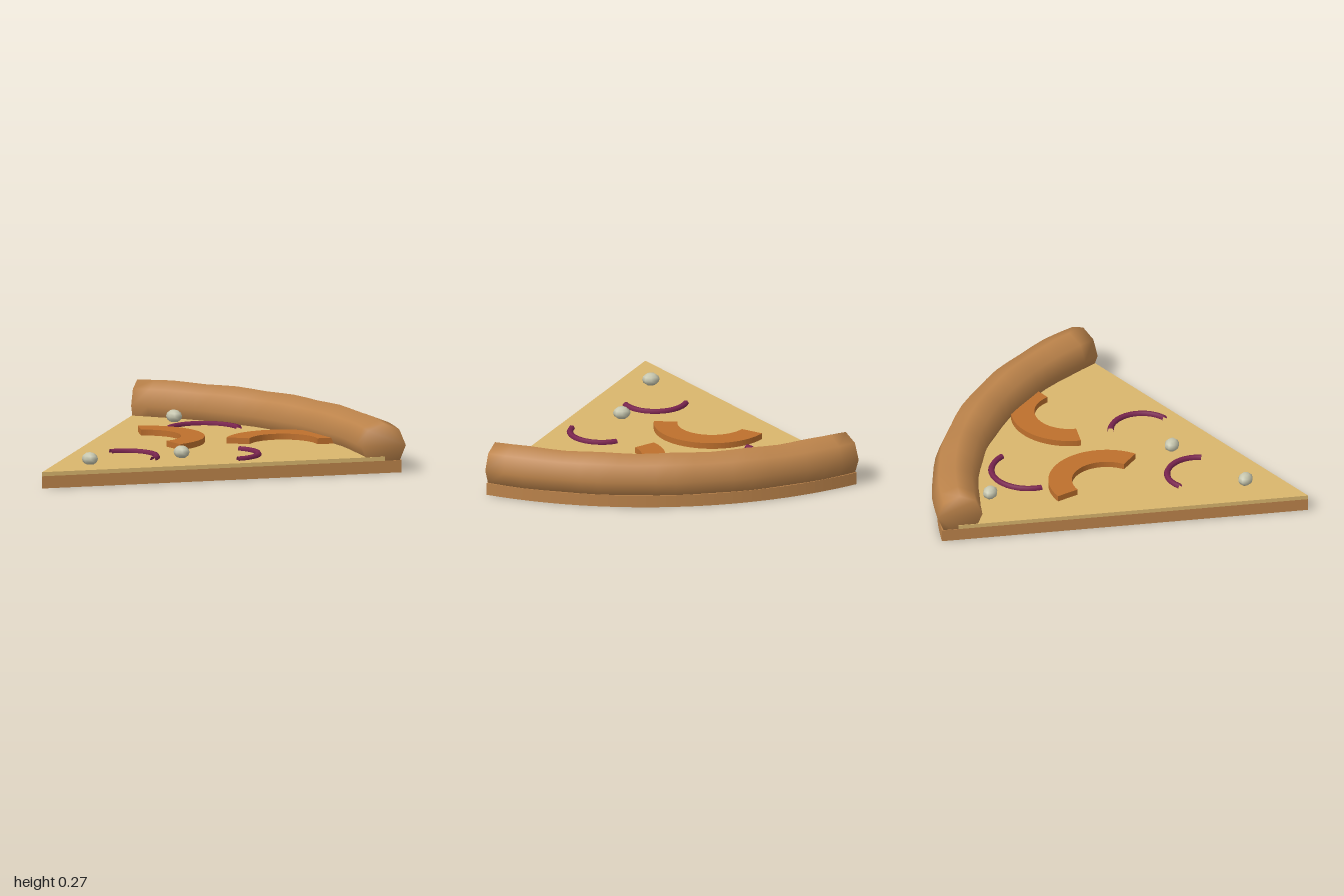
import * as THREE from 'three';

const rad = THREE.MathUtils.degToRad;

function material(name, color, extra = {}) {
  const m = new THREE.MeshStandardMaterial({ color, ...extra });
  m.name = name;
  return m;
}

// Extrude a flat outline (x, -z) upwards from height y
function slab(shape, y, height) {
  const g = new THREE.ExtrudeGeometry(shape, { depth: height, bevelEnabled: false, curveSegments: 20 });
  return g.rotateX(-Math.PI / 2).translate(0, y, 0);
}

// Sixty-degree wedge with its tip at z = 1
function wedge(radius) {
  const s = new THREE.Shape();
  s.absarc(0, -1, radius, rad(60), rad(120), false);
  s.lineTo(0, -1);
  s.closePath();
  return s;
}

// Curved band between two radii
function band(inner, outer, from, to) {
  const s = new THREE.Shape();
  s.absarc(0, 0, outer, rad(from), rad(to), false);
  s.absarc(0, 0, inner, rad(to), rad(from), true);
  s.closePath();
  return s;
}

// Lumpy eight-sided roll following the outer arc, softly capped at both ends
function crustGeometry() {
  const steps = 20, sides = 8, pos = [], index = [];
  for (let i = 0; i <= steps; i++) {
    const a = rad(-29.9 + (59.8 * i) / steps);
    const r = 0.124 + 0.003 * Math.cos(a * 30);
    for (let j = 0; j < sides; j++) {
      const t = (j / sides) * Math.PI * 2;
      const d = 1.873 + r * Math.cos(t);
      pos.push(d * Math.sin(a), 0.145 + r * Math.sin(t), 1 - d * Math.cos(a));
    }
  }
  for (let i = 0; i < steps; i++) {
    for (let j = 0; j < sides; j++) {
      const k = (j + 1) % sides;
      const a = i * sides + j, b = i * sides + k;
      index.push(a, b, a + sides, b, b + sides, a + sides);
    }
  }
  const last = steps * sides;
  for (let j = 1; j < sides - 1; j++) {
    index.push(0, j + 1, j, last, last + j, last + j + 1);
  }
  const g = new THREE.BufferGeometry();
  g.setAttribute('position', new THREE.Float32BufferAttribute(pos, 3));
  g.setIndex(index);
  g.computeVertexNormals();
  return g;
}

export function createModel() {
  const group = new THREE.Group();
  group.name = 'pizzaSlice';
  const crustMat = material('baked crust', 0xbd844b);
  const cheeseMat = material('cheese', 0xdab66d);
  const pepperMat = material('orange pepper', 0xbe702d);
  const onionMat = material('purple onion', 0x7b2550, { side: THREE.DoubleSide });
  const garlicMat = material('pale garlic', 0xc6c6ae);

  function add(name, geometry, mat, x = 0, y = 0, z = 0) {
    const mesh = new THREE.Mesh(geometry, mat);
    mesh.name = name;
    mesh.position.set(x, y, z);
    group.add(mesh);
    return mesh;
  }

  // Base layers and rolled edge
  add('dough', slab(wedge(1.97), 0, 0.066), crustMat);
  add('cheese', slab(wedge(1.88), 0.066, 0.022), cheeseMat);
  add('crust', crustGeometry(), crustMat);

  // Pepper strips: x, z, start and end angle
  for (const [x, z, from, to] of [[-0.27, -0.04, -9, 144], [0.325, -0.475, 59, 212]]) {
    add('pepperStrip', slab(band(0.185, 0.31, from, to), 0.085, 0.035), pepperMat, x, 0, z);
  }

  // Onion rings: x, z, radius, start and end angle
  for (const [x, z, r, from, to] of [
    [-0.28, -0.48, 0.197, 66, 221],
    [0.32, -0.06, 0.168, -25, 113],
    [0, 0.378, 0.166, 15, 165],
  ]) {
    const g = new THREE.TorusGeometry(r, 0.017, 6, 14, rad(to - from));
    g.rotateZ(rad(from)).rotateX(-Math.PI / 2);
    add('onionRing', g, onionMat, x, 0.093, z);
  }

  // Garlic pieces
  for (const [x, z] of [[-0.605, -0.575], [0.195, 0.155], [0, 0.645]]) {
    add('garlicPiece', new THREE.SphereGeometry(1, 8, 6), garlicMat, x, 0.117, z).scale.set(0.047, 0.035, 0.039);
  }
  return group;
}
